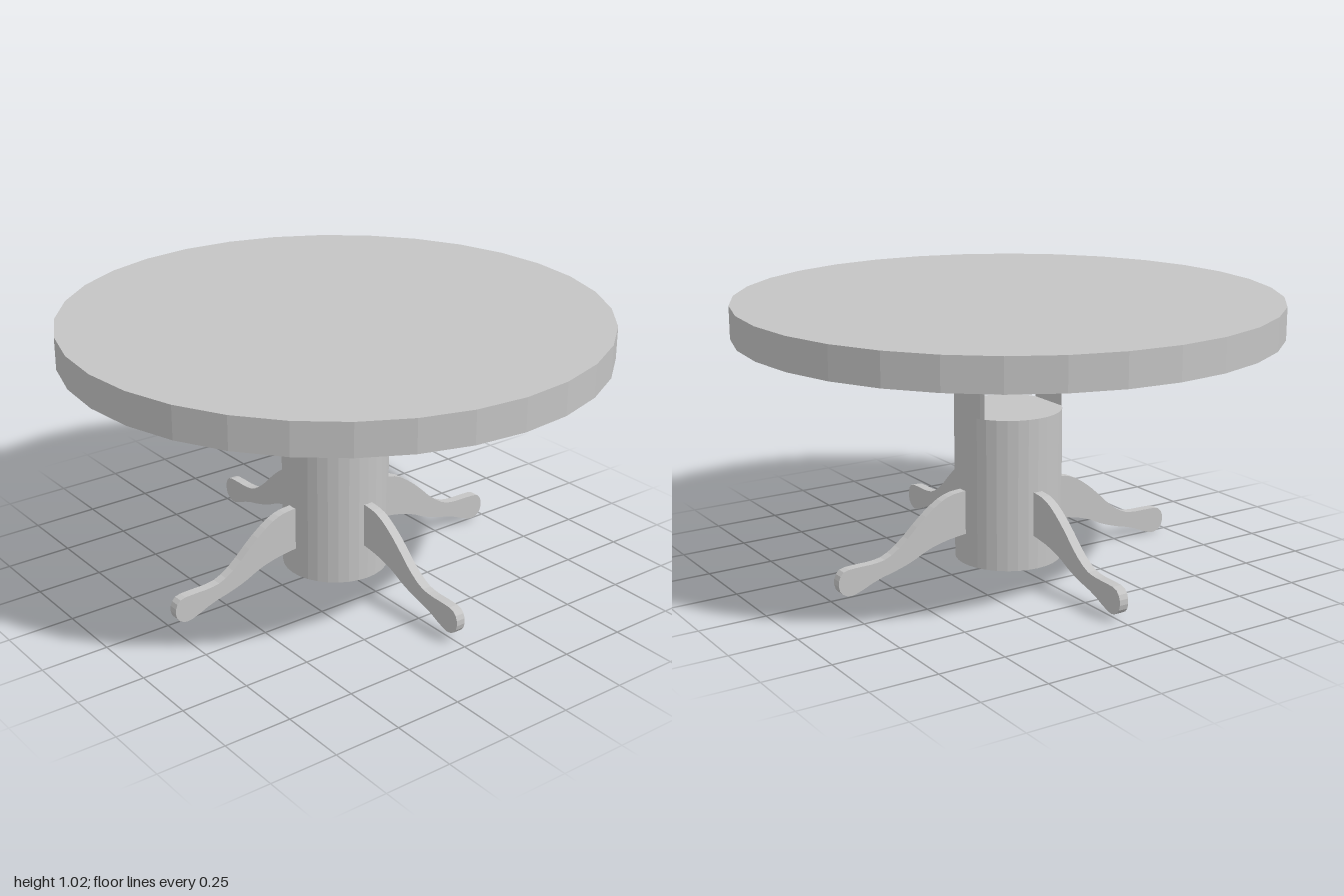
import * as THREE from 'three';

export function createModel() {
  const table = new THREE.Group();
  table.name = 'roundPedestalTable';
  const grey = new THREE.MeshStandardMaterial({ color: 0xc4c4c4, flatShading: true });
  grey.name = 'plain grey';

  const add = (name, geometry) => {
    const mesh = new THREE.Mesh(geometry, grey);
    mesh.name = name;
    table.add(mesh);
    return mesh;
  };
  const disc = (name, radius, y0, y1) => {
    add(name, new THREE.CylinderGeometry(radius, radius, y1 - y0, 32)).position.y = (y0 + y1) / 2;
  };

  // Top and the two solid drums of the column
  disc('tabletop', 1, 0.905, 1.025);
  disc('lowerColumn', 0.2, 0.04, 0.61);
  disc('upperColumn', 0.2, 0.8, 0.905);

  // Slivers of the column left at the front and back of the slot
  const sliver = (name, inner, turn) => {
    const half = Math.acos(inner / 0.2);
    const shape = new THREE.Shape();
    shape.absarc(0, 0, 0.2, Math.PI / 2 - half, Math.PI / 2 + half, false);
    shape.closePath();
    const g = new THREE.ExtrudeGeometry(shape, { depth: 0.19, bevelEnabled: false, curveSegments: 6 });
    g.rotateX(-Math.PI / 2).rotateY(turn);
    add(name, g).position.y = 0.61;
  };
  sliver('backPillar', 0.17, 0);
  sliver('frontPillar', 0.18, Math.PI);

  // Curved feet: side profile as distance from the axis and height
  const upper = [[0.19, 0.347], [0.25, 0.342], [0.307, 0.32], [0.38, 0.267], [0.46, 0.193],
    [0.527, 0.15], [0.585, 0.139], [0.65, 0.138], [0.703, 0.132], [0.725, 0.1]];
  const lower = [[0.72, 0.06], [0.69, 0.038], [0.65, 0.042], [0.57, 0.075], [0.49, 0.096],
    [0.425, 0.118], [0.355, 0.15], [0.275, 0.171], [0.19, 0.182]];
  const outline = new THREE.Shape();
  outline.moveTo(...upper[0]);
  outline.splineThru([...upper.slice(1), ...lower].map(([x, y]) => new THREE.Vector2(x, y)));
  outline.closePath();
  const legGeometry = new THREE.ExtrudeGeometry(outline, { depth: 0.036, bevelEnabled: false, curveSegments: 2 });
  legGeometry.translate(0, 0, -0.018);

  // Each foot sits at a slightly different height
  [['leftLeg', 0], ['backLeg', -0.022], ['rightLeg', -0.012], ['frontLeg', -0.033]].forEach(([name, drop], i) => {
    const leg = add(name, legGeometry);
    leg.rotation.y = i * Math.PI / 2;
    leg.position.y = drop;
  });

  return table;
}
